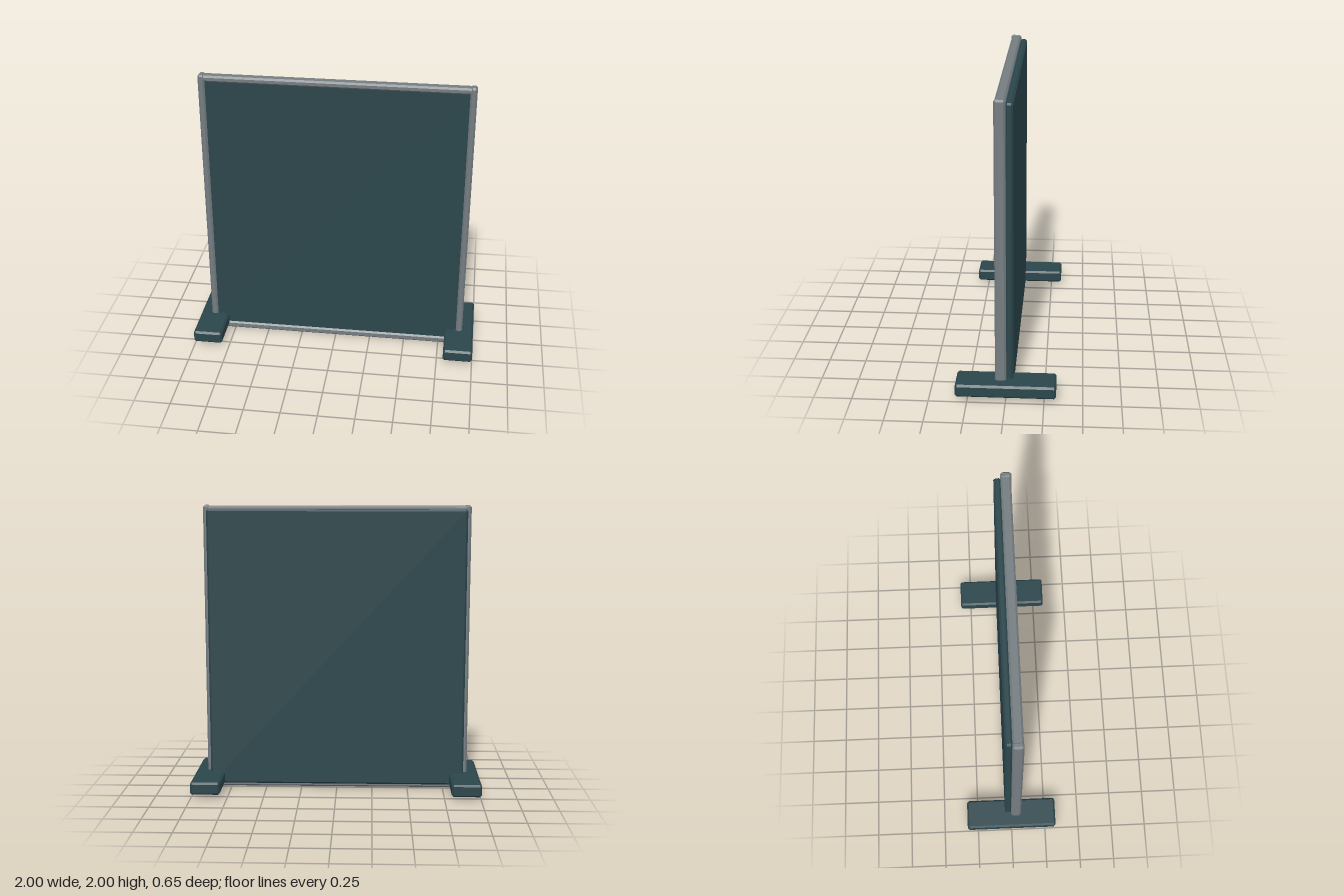
import * as THREE from 'three';
import { ConvexGeometry } from 'three/addons/geometries/ConvexGeometry.js';

const teal = new THREE.MeshStandardMaterial({ name: 'darkTeal', color: 0x2b464c });
const grey = new THREE.MeshStandardMaterial({ name: 'frameGrey', color: 0x757d81 });

// Box with chamfered edges, given by its minimum and maximum corners
function block(name, material, min, max, bevel) {
  const half = max.map((v, i) => (v - min[i]) / 2);
  const points = [];
  for (const sx of [-1, 1]) for (const sy of [-1, 1]) for (const sz of [-1, 1]) {
    // Each corner becomes three points, one on each neighbouring face
    for (let axis = 0; axis < 3; axis++) {
      const p = [sx, sy, sz].map((s, i) => s * (half[i] - (i === axis ? 0 : bevel)));
      points.push(new THREE.Vector3(...p));
    }
  }
  const mesh = new THREE.Mesh(new ConvexGeometry(points), material);
  mesh.position.set(...max.map((v, i) => (v + min[i]) / 2));
  mesh.name = name;
  return mesh;
}

export function createModel() {
  const model = new THREE.Group();
  model.name = 'partitionScreen';

  // Back panel behind the frame, and the infill that nearly fills the frame's depth
  model.add(block('backPanel', teal, [-0.893, 0.036, -0.046], [0.893, 1.97, 0.004], 0.013));
  model.add(block('frontPanel', teal, [-0.885, 0.045, -0.01], [0.885, 1.955, 0.057], 0.004));

  // Top and bottom rails
  const frame = new THREE.Group();
  frame.name = 'frame';
  frame.add(block('topRail', grey, [-0.915, 1.948, 0], [0.915, 1.992, 0.068], 0.012));
  frame.add(block('bottomRail', grey, [-0.915, 0.003, 0], [0.915, 0.054, 0.068], 0.012));

  // Posts and feet, mirrored left and right
  for (const [side, s] of [['left', 1], ['right', -1]]) {
    const span = (a, b) => (s > 0 ? [a, b] : [-b, -a]);
    const [p0, p1] = span(0.875, 0.92);
    frame.add(block(side + 'Post', grey, [p0, 0, -0.001], [p1, 1.996, 0.071], 0.012));
    const [f0, f1] = span(0.795, 1);
    model.add(block(side + 'Foot', teal, [f0, 0.033, -0.327], [f1, 0.12, 0.327], 0.013));
  }
  model.add(frame);
  return model;
}
